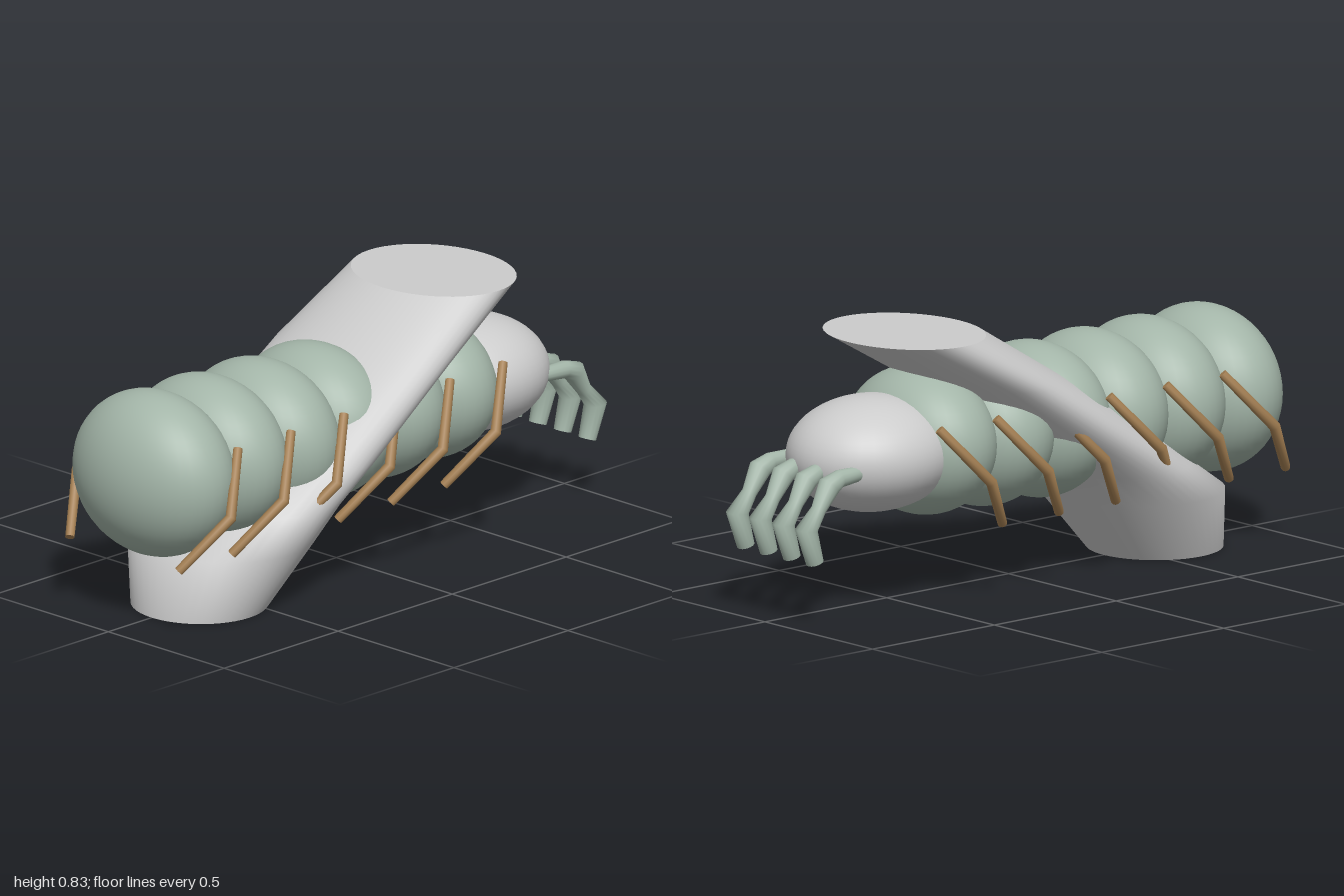
import * as THREE from 'three';

const V = (x, y, z) => new THREE.Vector3(x, y, z);
const grey = new THREE.MeshStandardMaterial({ color: 0xcccccc });
const sage = new THREE.MeshStandardMaterial({ color: 0xa3b5a8 });
const brown = new THREE.MeshStandardMaterial({ color: 0xa58053 });

// Smooth closed skin over elliptical rings { c, u, v }, with flat end caps
function loft(rings, n) {
  const pos = [], idx = [];
  const addRing = ({ c, u, v }) => {
    for (let j = 0; j < n; j++) {
      const a = (j / n) * Math.PI * 2;
      pos.push(...c.clone().addScaledVector(u, Math.cos(a)).addScaledVector(v, Math.sin(a)).toArray());
    }
  };
  rings.forEach(addRing);
  for (let i = 0; i < rings.length - 1; i++) {
    for (let j = 0; j < n; j++) {
      const a = i * n + j, b = i * n + (j + 1) % n;
      idx.push(a, b, a + n, b, b + n, a + n);
    }
  }
  for (const end of [0, 1]) {
    const ring = rings[end ? rings.length - 1 : 0], start = pos.length / 3;
    addRing(ring);
    pos.push(...ring.c.toArray());
    for (let j = 0; j < n; j++) {
      const a = start + j, b = start + (j + 1) % n;
      idx.push(start + n, end ? a : b, end ? b : a);
    }
  }
  const g = new THREE.BufferGeometry();
  g.setAttribute('position', new THREE.Float32BufferAttribute(pos, 3));
  g.setIndex(idx);
  g.computeVertexNormals();
  return g;
}

// Limb along points with a radius at each point
function limb(points, radii, n) {
  const rings = points.map((c, i) => {
    const before = points[Math.max(i - 1, 0)], after = points[Math.min(i + 1, points.length - 1)];
    const t = after.clone().sub(before).normalize();
    const u = V(0, 0, 1).cross(t).normalize();
    const v = t.clone().cross(u);
    return { c, u: u.multiplyScalar(radii[i]), v: v.multiplyScalar(radii[i]) };
  });
  return loft(rings, n);
}

export function createModel() {
  const model = new THREE.Group();
  const add = (name, geometry, material) => {
    const mesh = new THREE.Mesh(geometry, material);
    mesh.name = name;
    model.add(mesh);
    return mesh;
  };

  // Leaning stem: height, left x, right x, half depth
  const stem = [
    [0, -0.81, -0.39, 0.215],
    [0.2, -0.785, -0.22, 0.3],
    [0.31, -0.62, -0.13, 0.317],
    [0.42, -0.45, 0.01, 0.327],
    [0.65, -0.09, 0.33, 0.316],
    [0.83, 0.2, 0.655, 0.28],
  ].map(([y, l, r, d]) => ({ c: V((l + r) / 2, y, 0), u: V(0, 0, d), v: V((r - l) / 2, 0, 0) }));
  add('stem', loft(stem, 48), grey);

  // Body segments, shrinking slightly toward the head, each with a pair of legs
  for (let i = 0; i < 6; i++) {
    const x = -0.8 + i * 0.2325;
    const segment = add('bodySegment', new THREE.SphereGeometry(1, 40, 28), sage);
    segment.scale.set(0.2, 0.262 - i * 0.006, 0.292 - i * 0.003);
    segment.position.set(x, 0.47 + i * 0.002, 0);
    for (const s of [1, -1]) {
      const path = [V(x + 0.13, 0.57, s * 0.235), V(x, 0.4, s * 0.332), V(x - 0.13, 0.235, s * 0.235)];
      add(s > 0 ? 'frontLeg' : 'backLeg', limb(path, [0.015, 0.018, 0.015], 10), brown);
    }
  }

  // Head
  const head = add('head', new THREE.SphereGeometry(1, 40, 28), grey);
  head.scale.set(0.275, 0.18, 0.247);
  head.position.set(0.565, 0.47, 0);

  // Row of four bent feelers on the face
  for (const z of [-0.153, -0.046, 0.061, 0.168]) {
    const path = [
      V(0.72, 0.458, z), V(0.83, 0.452, z), V(0.872, 0.435, z),
      V(0.915, 0.367, z), V(0.965, 0.31, z), V(0.93, 0.203, z),
    ];
    add('feeler', limb(path, [0.022, 0.028, 0.036, 0.024, 0.036, 0.028], 14), sage);
  }
  return model;
}
